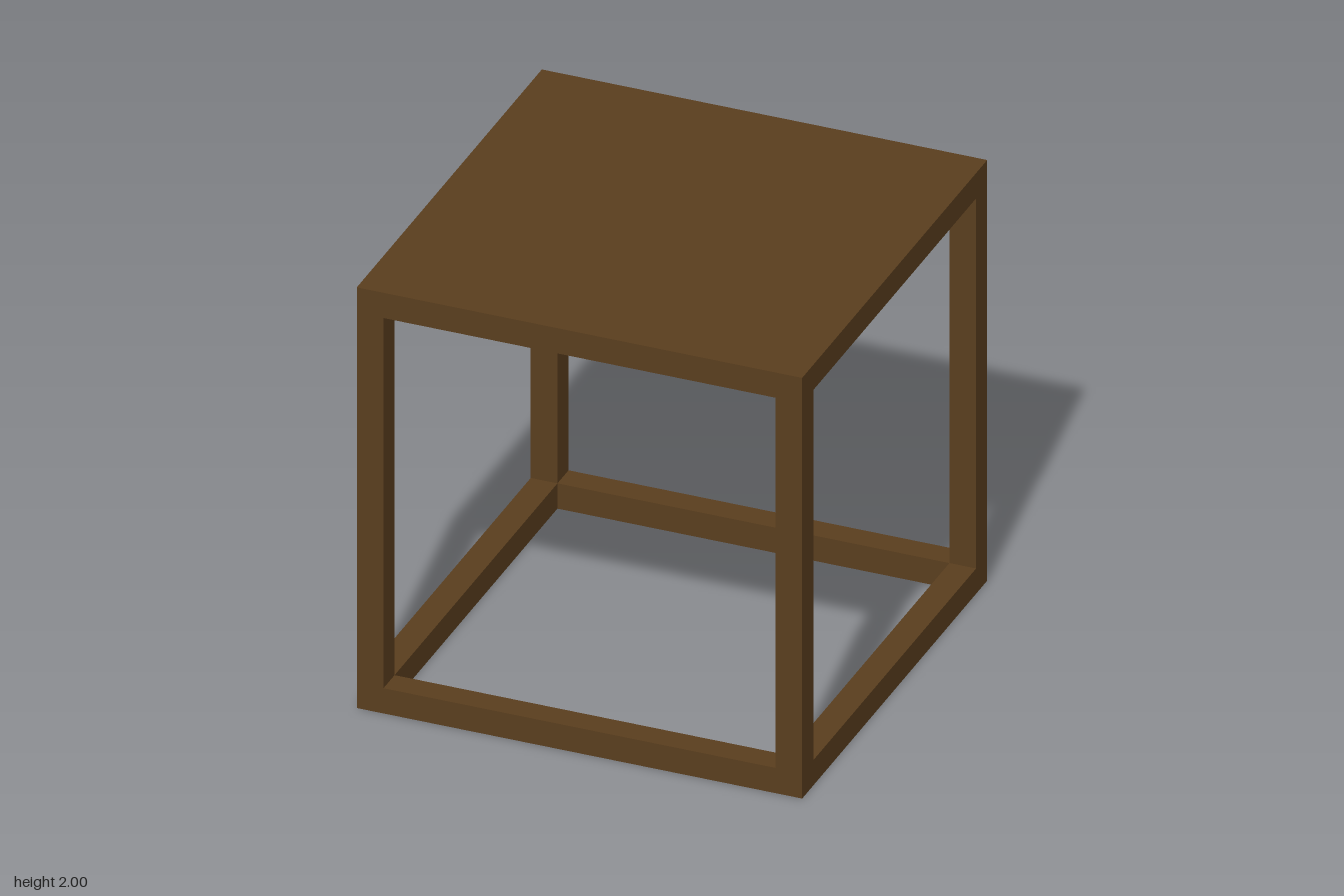
import * as THREE from 'three';

export function createModel() {
  const group = new THREE.Group();
  const wood = new THREE.MeshStandardMaterial({ color: 0x5a3e1e });
  const size = 2, bar = 0.12, half = size / 2, inner = half - bar;

  const add = (name, geometry, x, y, z) => {
    const mesh = new THREE.Mesh(geometry, wood);
    mesh.name = name;
    mesh.position.set(x, y, z);
    group.add(mesh);
    return mesh;
  };

  // solid table top
  add('tableTop', new THREE.BoxGeometry(size, bar, size), 0, size - bar / 2, 0);

  // four square legs between the base and the top
  const legGeometry = new THREE.BoxGeometry(bar, size - 2 * bar, bar);
  const offset = half - bar / 2;
  for (const [sx, sideName] of [[1, 'Left'], [-1, 'Right']]) {
    for (const [sz, endName] of [[1, 'front'], [-1, 'back']]) {
      add(`${endName}${sideName}Leg`, legGeometry, sx * offset, half, sz * offset);
    }
  }

  // open square base frame lying on the floor
  const outline = new THREE.Shape([
    new THREE.Vector2(-half, -half), new THREE.Vector2(half, -half),
    new THREE.Vector2(half, half), new THREE.Vector2(-half, half),
  ]);
  outline.holes.push(new THREE.Path([
    new THREE.Vector2(-inner, -inner), new THREE.Vector2(-inner, inner),
    new THREE.Vector2(inner, inner), new THREE.Vector2(inner, -inner),
  ]));
  const base = new THREE.ExtrudeGeometry(outline, { depth: bar, bevelEnabled: false });
  base.rotateX(-Math.PI / 2);
  add('baseFrame', base, 0, 0, 0);

  return group;
}
